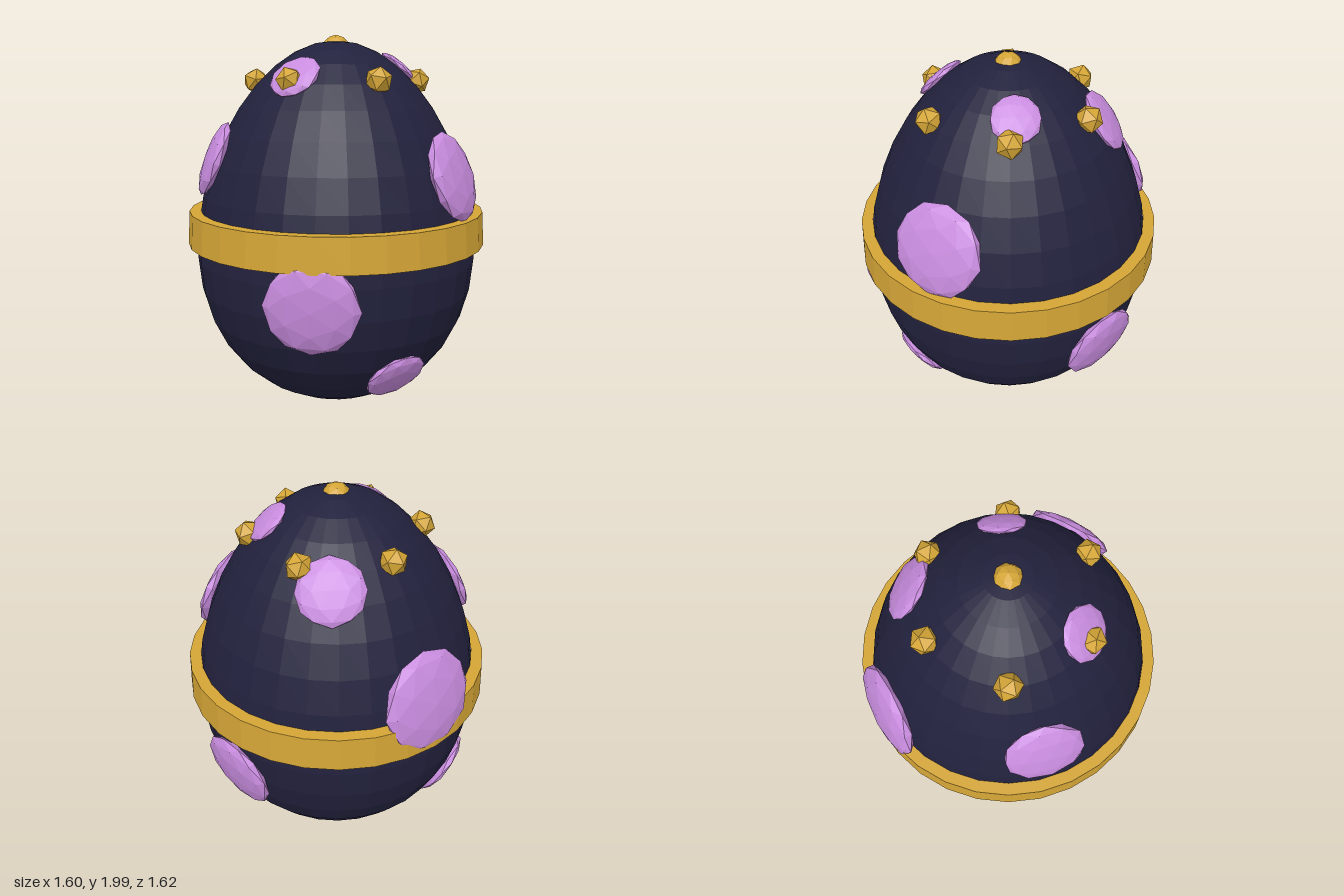
import * as THREE from 'three';

const mat = (name, color) => {
  const m = new THREE.MeshStandardMaterial({ color, flatShading: true });
  m.name = name;
  return m;
};

// Egg profile: an ellipse that tapers towards the top
const MID = 0.99, HALF = 0.98;
const radiusAt = (y) => {
  const t = (y - MID) / HALF;
  return 0.75 * Math.sqrt(Math.max(0, 1 - t * t)) * (1 - 0.15 * t);
};

export function createModel() {
  const navy = mat('navy', 0x22213d);
  const lilac = mat('lilac', 0xc88cde);
  const gold = mat('gold', 0xd4a536);
  const model = new THREE.Group();
  model.name = 'decoratedEgg';

  const add = (name, geometry, material) => {
    const mesh = new THREE.Mesh(geometry, material);
    mesh.name = name;
    model.add(mesh);
    return mesh;
  };

  // Shell
  const profile = [];
  const rows = 18;
  for (let i = 0; i <= rows; i++) {
    const y = MID - HALF * Math.cos((i / rows) * Math.PI);
    profile.push(new THREE.Vector2(i % rows ? radiusAt(y) : 0, y));
  }
  add('shell', new THREE.LatheGeometry(profile, 30), navy);

  // Waist band, slightly tapered
  const band = [[0.735, 0.905], [0.806, 0.905], [0.795, 1.08], [0.735, 1.08]];
  add('band', new THREE.LatheGeometry(band.map(([x, y]) => new THREE.Vector2(x, y)), 30), gold);

  // Puts a mesh on the shell at height y in the direction (x, z), facing outwards
  const placeOnShell = (mesh, x, y, z, lift = 0) => {
    const a = Math.atan2(x, z);
    const slope = (radiusAt(y + 0.01) - radiusAt(y - 0.01)) / 0.02;
    const normal = new THREE.Vector3(Math.sin(a), -slope, Math.cos(a)).normalize();
    const r = radiusAt(y);
    mesh.position.set(Math.sin(a) * r, y, Math.cos(a) * r).addScaledVector(normal, lift);
    mesh.quaternion.setFromUnitVectors(new THREE.Vector3(0, 0, 1), normal);
    if (normal.z < -0.99) mesh.rotation.set(0, Math.PI, 0);
  };

  // Flattened spots: x, y, z, radius
  const spots = [
    [0.355, 1.29, 0.605, 0.235],
    [-0.455, 0.73, 0.6, 0.235],
    [0.02, 0.3, 0.57, 0.165],
    [0.74, 0.64, -0.12, 0.22],
    [-0.645, 1.36, -0.17, 0.205],
    [0, 1.14, -0.735, 0.262],
    [0.315, 1.68, -0.375, 0.165],
    [-0.355, 1.78, 0.21, 0.135],
    [0.33, 1.83, 0.155, 0.12],
    [-0.365, 0.37, -0.52, 0.195],
  ];
  const spotShape = new THREE.IcosahedronGeometry(1, 1);
  for (const [x, y, z, r] of spots) {
    const spot = add('spot', spotShape, lilac);
    spot.scale.set(r, r, r * 0.25);
    placeOnShell(spot, x, y, z);
  }

  // Ring of six studs and one on the crown
  const studShape = new THREE.IcosahedronGeometry(0.07, 0);
  for (let i = 0; i < 6; i++) {
    const a = (i * Math.PI) / 3;
    placeOnShell(add('stud', studShape, gold), Math.sin(a), 1.75, Math.cos(a), 0.015);
  }
  const crown = add('crownStud', new THREE.IcosahedronGeometry(0.075, 1), gold);
  crown.position.y = 1.925;

  return model;
}
